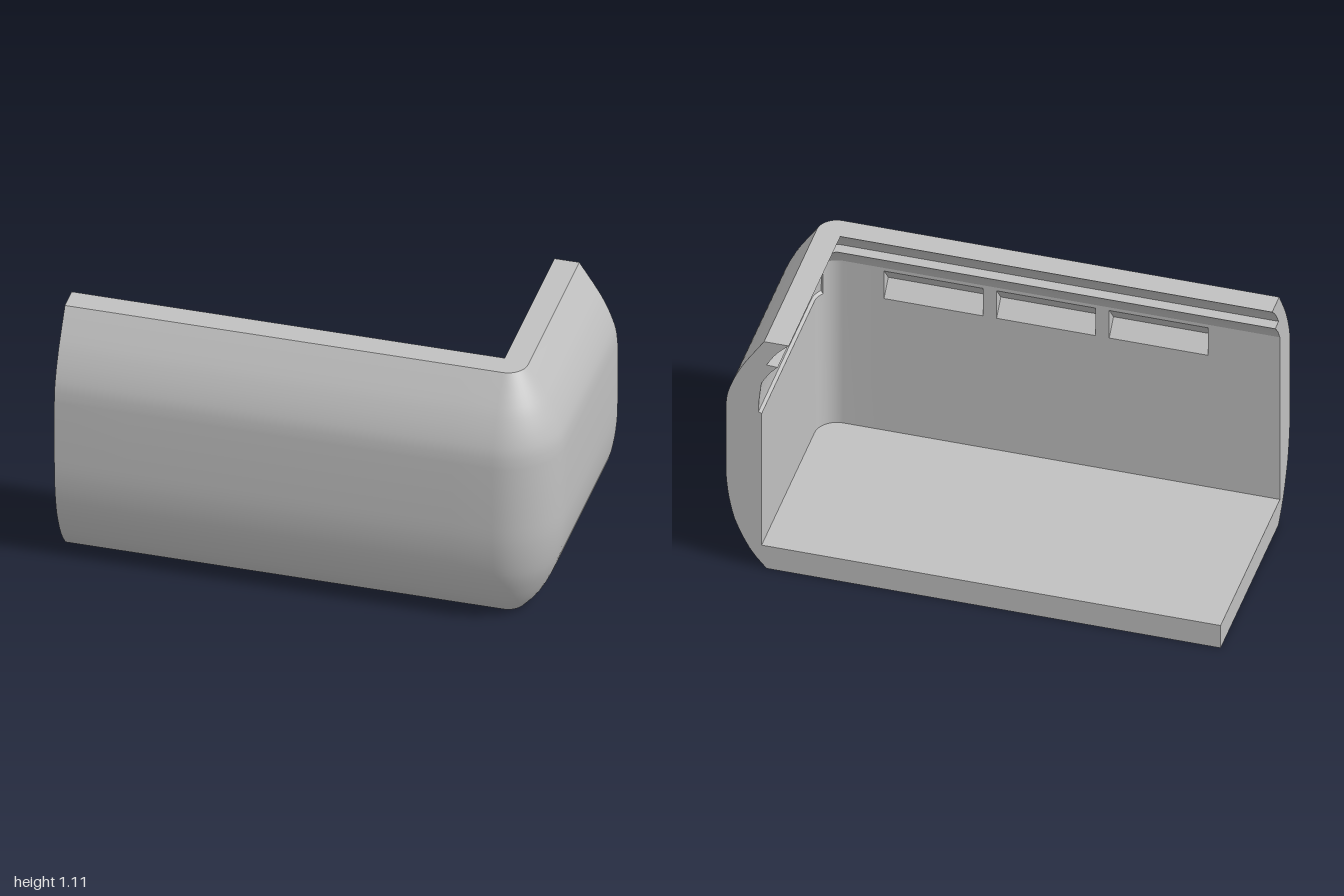
import * as THREE from 'three';
import { toCreasedNormals } from 'three/addons/utils/BufferGeometryUtils.js';

const W = 1, D = 0.49, H = 1.11, R = 0.235;   // half width, half depth, height, corner radius
const FLOOR = 0.11, BASE_IN = 0.165;           // floor thickness, inset of the base edge
const WALL = 0.145;                            // inset of the inner wall face

// smooth points through [inset, y] pairs
function curve(pairs, n) {
  const c = new THREE.SplineCurve(pairs.map(p => new THREE.Vector2(...p)));
  return c.getPoints(n).map(p => [p.x, p.y]);
}

// wall section as [inset, y], up the outside and down the inside
function section(kind) {
  const inner = {
    plain: [WALL, WALL, WALL, WALL],
    pocket: [0.142, 0.134, 0.132, WALL],
    slot: [WALL, 0.085, 0.138, WALL],
  }[kind];
  return [
    ...curve([[BASE_IN, 0], [0.1, 0.08], [0.042, 0.2], [0.016, 0.3], [0.003, 0.4], [0, 0.48]], 14),
    ...curve([[0, 0.76], [0.006, 0.82], [0.024, 0.88], [0.05, 0.94], [0.083, 1], [0.155, H]], 14),
    ...curve([[0.255, H], [0.205, 1.06], [0.165, 0.998]], 5),
    ...curve([[0.21, 0.995], [0.175, 0.955], [0.145, 0.905]], 5),
    [inner[0], 0.89], [inner[1], 0.815], [inner[2], 0.762], [inner[3], 0.755],
    [WALL, FLOOR], [BASE_IN, FLOOR],
  ];
}

// places along the wall: side wall, round corner, front wall
const side = (kind, z) => section(kind).map(([d, y]) => new THREE.Vector3(W - d, y, z));
const front = (kind, x) => section(kind).map(([d, y]) => new THREE.Vector3(x, y, D - d));
const corner = (kind, a) => section(kind).map(([d, y]) => {
  const c = Math.max(d, R), r = c - d;
  return new THREE.Vector3(W - c + r * Math.cos(a), y, D - c + r * Math.sin(a));
});

function wallGeometry() {
  const rings = [side('pocket', -D)];
  const steps = 12, pocketEnd = 5;
  for (let i = 0; i <= steps; i++) {
    const a = i / steps * Math.PI / 2;
    if (i <= pocketEnd) rings.push(corner('pocket', a));
    if (i >= pocketEnd) rings.push(corner('plain', a));
  }
  // three wedge-shaped slots cut in the inner face of the front wall
  for (const x of [0.4, -0.055, -0.51]) {
    rings.push(front('plain', x + 0.2), front('slot', x + 0.2));
    rings.push(front('slot', x - 0.2), front('plain', x - 0.2));
  }
  rings.push(front('plain', -W));

  const pos = [];
  const tri = (a, b, c) => {
    const area = b.clone().sub(a).cross(c.clone().sub(a)).length();
    if (area > 1e-8) for (const p of [a, b, c]) pos.push(p.x, p.y, p.z);
  };
  for (let i = 0; i < rings.length - 1; i++) {
    const p = rings[i], q = rings[i + 1];
    for (let j = 0; j < p.length; j++) {
      const k = (j + 1) % p.length;
      tri(p[j], p[k], q[k]);
      tri(p[j], q[k], q[j]);
    }
  }
  // flat ends
  const cap = (ring, flat, flip) => {
    for (const [a, b, c] of THREE.ShapeUtils.triangulateShape(flat, [])) {
      if (flip) tri(ring[a], ring[c], ring[b]);
      else tri(ring[a], ring[b], ring[c]);
    }
  };
  const first = rings[0], last = rings[rings.length - 1];
  cap(first, first.map(p => new THREE.Vector2(p.x, p.y)), true);
  cap(last, last.map(p => new THREE.Vector2(p.z, p.y)), false);

  const g = new THREE.BufferGeometry();
  g.setAttribute('position', new THREE.Float32BufferAttribute(pos, 3));
  return toCreasedNormals(g, 0.45);
}

// floor slab with one rounded corner
function floorGeometry() {
  const r = R - BASE_IN;
  const s = new THREE.Shape();
  s.moveTo(-W, D);
  s.lineTo(-W, BASE_IN - D);
  s.lineTo(W - R, BASE_IN - D);
  s.absarc(W - R, R - D, r, -Math.PI / 2, 0, false);
  s.lineTo(W - BASE_IN, D);
  const g = new THREE.ExtrudeGeometry(s, { depth: FLOOR, bevelEnabled: false, curveSegments: 12 });
  return g.rotateX(-Math.PI / 2);
}

export function createModel() {
  const group = new THREE.Group();
  group.name = 'cornerHousing';
  const grey = new THREE.MeshStandardMaterial({ color: 0xc0c0c0 });
  grey.name = 'light grey';
  const add = (name, geometry) => {
    const m = new THREE.Mesh(geometry, grey);
    m.name = name;
    group.add(m);
  };
  add('curvedWall', wallGeometry());
  add('floor', floorGeometry());
  return group;
}
